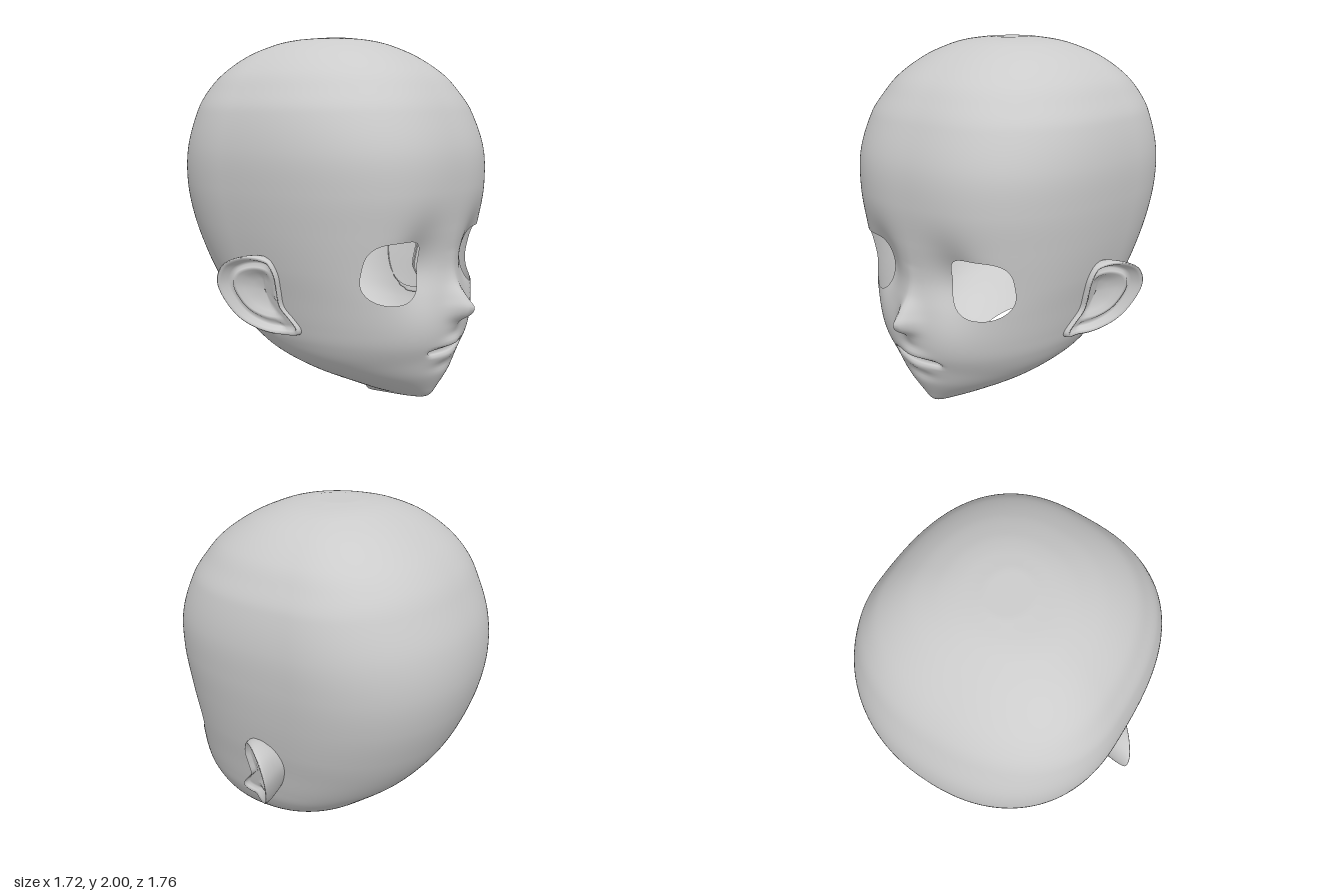
import * as THREE from 'three';
import { mergeVertices } from 'three/addons/utils/BufferGeometryUtils.js';

// Smooth interpolation through rows of [key, value, value...]
function sample(rows, t) {
  const last = rows.length - 1;
  if (t <= rows[0][0]) return rows[0].slice(1);
  if (t >= rows[last][0]) return rows[last].slice(1);
  let i = 0;
  while (rows[i + 1][0] < t) i++;
  const a = rows[i], b = rows[i + 1], p = rows[Math.max(i - 1, 0)], q = rows[Math.min(i + 2, last)];
  const h = b[0] - a[0], u = (t - a[0]) / h, u2 = u * u, u3 = u2 * u;
  return a.slice(1).map((va, k) => {
    const vb = b[k + 1];
    const ma = (vb - p[k + 1]) / (b[0] - p[0]) * h, mb = (q[k + 1] - va) / (q[0] - a[0]) * h;
    return (2 * u3 - 3 * u2 + 1) * va + (u3 - 2 * u2 + u) * ma + (3 * u2 - 2 * u3) * vb + (u3 - u2) * mb;
  });
}

// Horizontal slices: y, front z, back z, half width, z of widest point, front and back roundness
const SLICES = [
  [0.00, 0.30, 0.20, 0.03, 0.25, 1.8, 2.1],
  [0.03, 0.56, 0.16, 0.065, 0.33, 1.8, 2.2],
  [0.05, 0.615, 0.13, 0.10, 0.37, 1.8, 2.2],
  [0.10, 0.65, 0.03, 0.20, 0.36, 1.8, 2.3],
  [0.20, 0.70, -0.17, 0.38, 0.24, 1.9, 2.3],
  [0.30, 0.725, -0.33, 0.50, 0.13, 2.05, 2.3],
  [0.40, 0.755, -0.46, 0.565, 0.04, 2.25, 2.2],
  [0.50, 0.765, -0.58, 0.60, -0.02, 2.4, 2.15],
  [0.65, 0.76, -0.70, 0.64, -0.08, 2.55, 2.15],
  [0.80, 0.75, -0.78, 0.68, -0.13, 2.65, 2.15],
  [1.00, 0.77, -0.85, 0.72, -0.17, 2.65, 2.2],
  [1.20, 0.785, -0.88, 0.745, -0.2, 2.7, 2.2],
  [1.40, 0.77, -0.857, 0.748, -0.2, 2.7, 2.2],
  [1.60, 0.70, -0.775, 0.71, -0.18, 2.6, 2.25],
  [1.70, 0.64, -0.715, 0.66, -0.17, 2.5, 2.3],
  [1.80, 0.555, -0.62, 0.59, -0.15, 2.4, 2.3],
  [1.90, 0.41, -0.48, 0.465, -0.12, 2.3, 2.3],
  [1.96, 0.275, -0.355, 0.335, -0.09, 2.2, 2.2],
  [1.985, 0.185, -0.275, 0.24, -0.07, 2.1, 2.1],
  [2.00, 0.08, -0.18, 0.12, -0.05, 2, 2],
];

// Half width of the head at a height and depth, 0 outside it
function halfWidth(y, z) {
  if (y < 0 || y > 2) return 0;
  const [zf, zb, w, zm, nf, nb] = sample(SLICES, y);
  const front = z > zm, n = front ? nf : nb;
  const t = Math.abs((z - zm) / ((front ? zf : zb) - zm));
  return t < 1 ? w * Math.pow(1 - Math.pow(t, n), 1 / n) : 0;
}

const CENTRE = new THREE.Vector3(0, 0.9, -0.05);

// Surface point in the direction of d from the centre of the skull
function castHead(d) {
  let lo = 0, hi = 1.6;
  for (let i = 0; i < 22; i++) {
    const m = (lo + hi) / 2;
    const w = halfWidth(CENTRE.y + d.y * m, CENTRE.z + d.z * m);
    if (Math.abs(d.x * m) < w) lo = m; else hi = m;
  }
  return d.clone().multiplyScalar(lo).add(CENTRE);
}

// Openings: the axes they are cut along, and a level below 1 inside the opening
const eye = side => ({
  axes: ['x', 'y'], centre: [side * 0.375, 0.80], size: [0.155, 0.16],
  near: p => p.z > 0 && p.x * side > 0,
  power: v => (v > 0 ? 3.8 : 2.3),
});
const OPENINGS = [eye(1), eye(-1), {
  axes: ['x', 'z'], centre: [0, -0.055], size: [0.23, 0.275],
  near: p => p.y < 0.6, power: () => 2,
}];

function openingLevel(o, p) {
  if (!o.near(p)) return 9;
  const [u, v] = o.axes.map((a, i) => (p[a] - o.centre[i]) / o.size[i]);
  const n = o.power(v);
  return Math.pow(Math.pow(Math.abs(u), n) + Math.pow(Math.abs(v), n), 1 / n);
}

// Slide a point of the surface out to the rim of an opening
function slideToRim(o, p) {
  for (let i = 0; i < 5; i++) {
    const k = Math.max(openingLevel(o, p), 0.05);
    o.axes.forEach((a, j) => { p[a] = o.centre[j] + (p[a] - o.centre[j]) / k; });
    p = castHead(p.sub(CENTRE).normalize());
  }
  return p;
}

const NOSE = [[0.44, 0], [0.5, 0.03], [0.55, 0.1], [0.59, 0.122], [0.63, 0.09], [0.72, 0.022], [0.88, 0]];
const bell = (v, s) => Math.exp(-(v * v) / (s * s));

// Nose, sockets, lips and chin as forward relief
function relief(x, y) {
  const ax = Math.abs(x);
  const [n] = sample(NOSE, y);
  const mouth = 1 / (1 + Math.exp((ax - 0.155) / 0.008));
  return n * Math.exp(-Math.pow(ax / 0.055, 1.5))
    - 0.075 * bell(ax - 0.25, 0.14) * bell(y - 0.82, 0.19)
    + 0.02 * bell(x, 0.09) * bell(y - 0.385, 0.03)
    + 0.012 * bell(x, 0.09) * bell(y - 0.3, 0.025)
    - 0.05 * mouth * bell(y - 0.346, 0.012)
    - 0.012 * bell(x, 0.1) * bell(y - 0.25, 0.03);
}

function headGeometry() {
  let geo = new THREE.SphereGeometry(1, 256, 210);
  geo.deleteAttribute('uv');
  geo.deleteAttribute('normal');
  geo = mergeVertices(geo, 1e-5);
  const pos = geo.attributes.position, cut = [];
  for (let i = 0; i < pos.count; i++) {
    let p = castHead(new THREE.Vector3().fromBufferAttribute(pos, i).normalize());
    const k = OPENINGS.findIndex(o => openingLevel(o, p) < 1);
    cut.push(k >= 0);
    if (k >= 0) p = slideToRim(OPENINGS[k], p);
    if (p.z > 0.3) p.z += relief(p.x, p.y);
    pos.setXYZ(i, p.x, p.y, p.z);
  }
  // Drop the faces lying wholly inside an opening
  const kept = [], idx = geo.index.array;
  for (let i = 0; i < idx.length; i += 3) {
    const f = [idx[i], idx[i + 1], idx[i + 2]];
    if (!f.every(v => cut[v])) kept.push(...f);
  }
  geo.setIndex(kept);
  geo.computeVertexNormals();
  return geo;
}

// Ear outline as [z, y]
const EAR = [[0.19, 0.455], [0.06, 0.45], [-0.05, 0.52], [-0.11, 0.63], [-0.13, 0.75], [-0.09, 0.84],
  [0, 0.875], [0.08, 0.85], [0.115, 0.78], [0.115, 0.69], [0.115, 0.6], [0.17, 0.53], [0.2, 0.48]];
// Ear section from the bowl over the rim to the skull: scale, outward offset
const EAR_SECTION = [[0.01, -0.075], [0.3, -0.07], [0.5, -0.05], [0.6, -0.025], [0.68, -0.025], [0.77, -0.045],
  [0.84, -0.035], [0.9, 0], [0.95, 0.012], [0.99, 0.006], [1, -0.015], [0.99, -0.05], [0.95, -0.09], [0.9, -0.13], [0.86, -0.22]];
const EAR_RIM = 9;

function earGeometry() {
  const curve = new THREE.CatmullRomCurve3(EAR.map(([z, y]) => new THREE.Vector3(0, y, z)), true);
  const n = 72, outline = curve.getSpacedPoints(n).slice(0, n);
  const verts = [], index = [];
  EAR_SECTION.forEach(([s, off], r) => outline.forEach((o, j) => {
    const z = 0.01 + (o.z - 0.01) * s, y = 0.68 + (o.y - 0.68) * s;
    // The bowl stays just above the skin, the back ends just below it
    const skin = halfWidth(y, z);
    const plate = Math.max(0.74 - 0.8 * z + 0.2 * (y - 0.7), skin + 0.02);
    verts.push(Math.max(plate + off, skin + (r > EAR_RIM ? -0.01 : 0.004)), y, z);
    if (r === 0) return;
    const a = (r - 1) * n + j, b = (r - 1) * n + (j + 1) % n;
    index.push(a, a + n, b, b, a + n, b + n);
  }));
  const geo = new THREE.BufferGeometry();
  geo.setAttribute('position', new THREE.Float32BufferAttribute(verts, 3));
  geo.setIndex(index);
  geo.computeVertexNormals();
  return geo;
}

export function createModel() {
  const model = new THREE.Group();
  model.name = 'head';
  const skin = new THREE.MeshStandardMaterial({ color: 0xcccccc, side: THREE.DoubleSide });
  const add = (name, geo) => {
    const mesh = new THREE.Mesh(geo, skin);
    mesh.name = name;
    model.add(mesh);
    return mesh;
  };
  add('faceAndSkull', headGeometry());
  const ear = earGeometry();
  add('leftEar', ear);
  add('rightEar', ear).scale.x = -1;
  return model;
}
